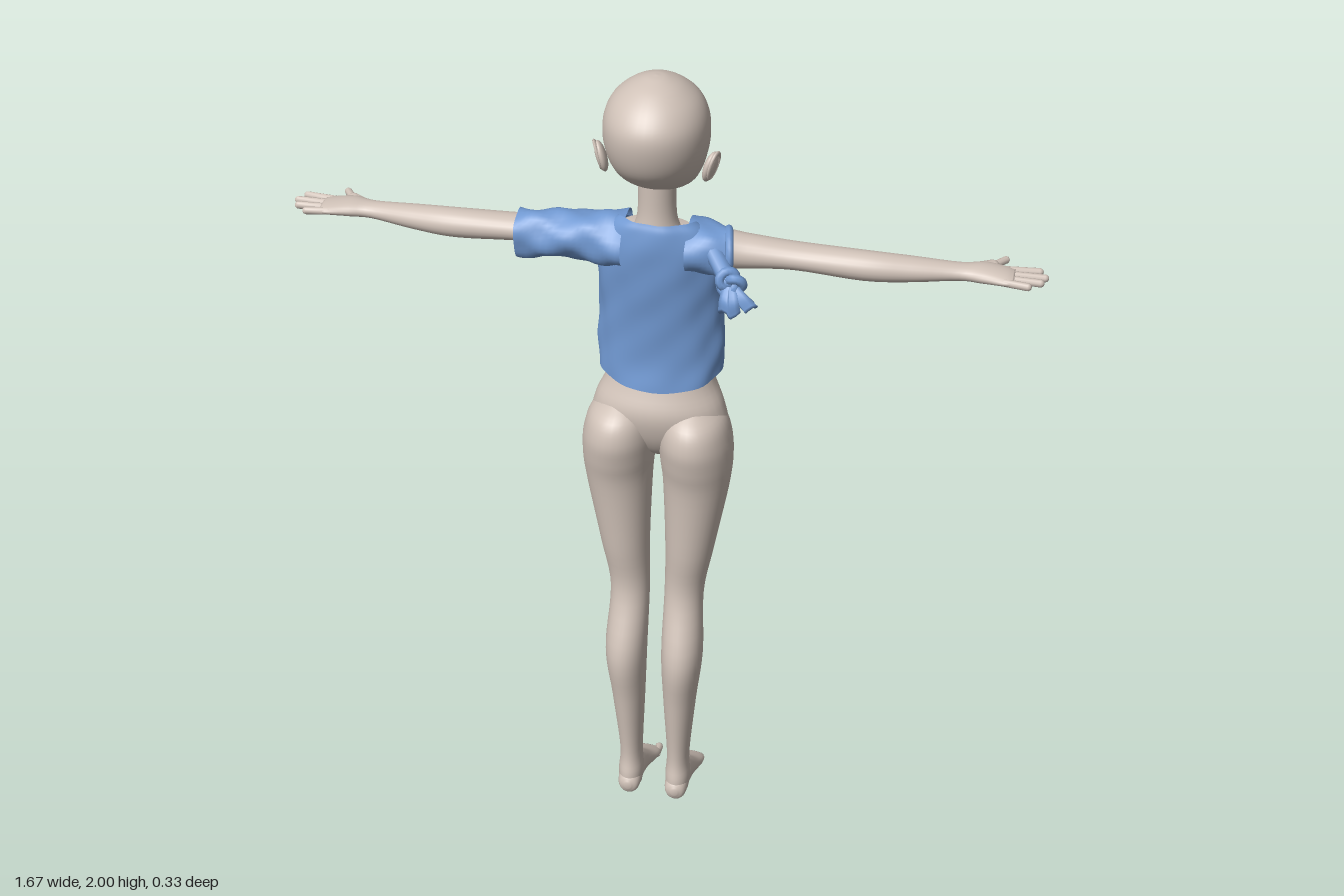
import * as THREE from 'three';

const skin = new THREE.MeshStandardMaterial({ color: 0xd0c2b8 });
skin.name = 'skin';
const cloth = new THREE.MeshStandardMaterial({ color: 0x7199d2, side: THREE.DoubleSide });
cloth.name = 'blue cloth';

// Smooth loft through keys [t, a, b, ra, rbMinus, rbPlus] running along an axis.
// y axis: a = x, b = z; x axis: a = y, b = z; z axis: a = x, b = y.
function loft(keys, axis, { steps = 5, sides = 32, caps = true, warp = null } = {}) {
  const mid = new THREE.CatmullRomCurve3(keys.map(k => new THREE.Vector3(k[0], k[1], k[2])), false, 'catmullrom', 0.5);
  const rad = new THREE.CatmullRomCurve3(keys.map(k => new THREE.Vector3(k[3], k[4], k[5] ?? k[4])), false, 'catmullrom', 0.5);
  const rows = (keys.length - 1) * steps, pos = [], idx = [];
  const place = (t, a, b) => axis === 'y' ? [a, t, b] : axis === 'x' ? [t, a, b] : [a, b, t];
  const flip = (axis !== 'y') !== (keys[0][0] > keys.at(-1)[0]);
  const tri = (a, b, c) => flip ? idx.push(a, c, b) : idx.push(a, b, c);
  for (let i = 0; i <= rows; i++) {
    const c = mid.getPoint(i / rows), r = rad.getPoint(i / rows);
    for (let j = 0; j < sides; j++) {
      const th = j / sides * Math.PI * 2, s = Math.sin(th);
      const p = new THREE.Vector3(...place(c.x,
        c.y + Math.max(r.x, 0.001) * Math.cos(th),
        c.z + Math.max(s < 0 ? r.y : r.z, 0.001) * s));
      if (warp) warp(p, th, i / rows);
      pos.push(p.x, p.y, p.z);
      if (i < rows) {
        const k = i * sides + j, n = i * sides + (j + 1) % sides;
        tri(k, k + sides, n);
        tri(n, k + sides, n + sides);
      }
    }
  }
  if (caps) [0, rows].forEach(row => {
    const c = mid.getPoint(row / rows), m = pos.length / 3;
    pos.push(...place(c.x, c.y, c.z));
    for (let j = 0; j < sides; j++) {
      const k = row * sides + j, n = row * sides + (j + 1) % sides;
      if (row) tri(m, n, k); else tri(m, k, n);
    }
  });
  const g = new THREE.BufferGeometry();
  g.setAttribute('position', new THREE.Float32BufferAttribute(pos, 3));
  g.setIndex(idx);
  g.computeVertexNormals();
  return g;
}

// Capsule between two points
function capsule(a, b, r) {
  const p = new THREE.Vector3(...a), q = new THREE.Vector3(...b), d = q.clone().sub(p);
  const g = new THREE.CapsuleGeometry(r, d.length(), 5, 10);
  g.applyQuaternion(new THREE.Quaternion().setFromUnitVectors(new THREE.Vector3(0, 1, 0), d.normalize()));
  return g.translate(...p.add(q).multiplyScalar(0.5).toArray());
}

const ball = (x, y, z, rx, ry, rz) => new THREE.SphereGeometry(1, 20, 14).scale(rx, ry, rz).translate(x, y, z);

// Mirrored copy across x = 0, with corner order restored
function mirror(geo) {
  const g = geo.clone().scale(-1, 1, 1), ix = g.index.array;
  for (let i = 0; i < ix.length; i += 3) [ix[i + 1], ix[i + 2]] = [ix[i + 2], ix[i + 1]];
  g.computeVertexNormals();
  return g;
}

export function createModel() {
  const model = new THREE.Group();
  model.name = 'figure';
  const add = (name, geo, mat = skin) => {
    const m = new THREE.Mesh(geo, mat);
    m.name = name;
    model.add(m);
  };
  const pair = (name, geo, mat = skin) => {
    add(name + 'Left', geo, mat);
    add(name + 'Right', mirror(geo), mat);
  };

  // Plain torso and neck
  add('torso', loft([
    [1.05, 0, 0.01, 0.03, 0.04, 0.03], [1.08, 0, 0.01, 0.1, 0.075, 0.06],
    [1.13, 0, 0.01, 0.155, 0.092, 0.085], [1.19, 0, 0.01, 0.148, 0.1, 0.095],
    [1.25, 0, 0, 0.122, 0.1, 0.085], [1.33, 0, 0, 0.105, 0.09, 0.06],
    [1.43, 0, 0, 0.11, 0.085, 0.06], [1.52, 0, 0, 0.12, 0.085, 0.075],
    [1.6, 0, 0.02, 0.12, 0.07, 0.06], [1.65, 0, 0.035, 0.075, 0.04, 0.042]], 'y'));
  add('neck', loft([
    [1.61, 0, 0.035, 0.08, 0.055, 0.045], [1.65, 0, 0.037, 0.05, 0.045, 0.045],
    [1.7, 0, 0.036, 0.041, 0.042, 0.042], [1.8, 0, 0.035, 0.042, 0.045, 0.045]], 'y'));

  // Head
  add('head', loft([
    [1.703, 0, -0.055, 0.008, 0.01, 0.01], [1.712, 0, -0.045, 0.03, 0.032, 0.03],
    [1.74, 0, -0.01, 0.062, 0.075, 0.06], [1.77, 0, 0.02, 0.085, 0.11, 0.08],
    [1.81, 0, 0.03, 0.102, 0.116, 0.112], [1.86, 0, 0.038, 0.112, 0.13, 0.126],
    [1.91, 0, 0.04, 0.11, 0.126, 0.128], [1.95, 0, 0.04, 0.093, 0.104, 0.105],
    [1.98, 0, 0.04, 0.06, 0.066, 0.068], [1.996, 0, 0.04, 0.026, 0.028, 0.028],
    [2, 0, 0.04, 0.003, 0.003]], 'y', { sides: 40 }));
  add('nose', loft([
    [1.768, 0, -0.085, 0.006, 0.008, 0.01], [1.776, 0, -0.085, 0.012, 0.021, 0.01],
    [1.79, 0, -0.083, 0.008, 0.014, 0.01], [1.82, 0, -0.08, 0.005, 0.006, 0.01]], 'y', { sides: 12 }));
  add('lips', ball(0, 1.742, -0.084, 0.018, 0.004, 0.006));
  const onFace = g => g.rotateY(-0.55).translate(0.05, 1.81, -0.074);
  pair('eyelid', onFace(new THREE.TorusGeometry(0.026, 0.003, 6, 28).scale(1.1, 0.75, 1.6)));
  pair('eye', onFace(ball(0, 0, 0.002, 0.02, 0.014, 0.006)));
  pair('eyelash', capsule([0.07, 1.824, -0.062], [0.094, 1.833, -0.034], 0.004));
  pair('ear', ball(0, 0, 0, 0.012, 0.036, 0.025).rotateZ(-0.25).rotateY(-0.3).translate(0.117, 1.808, 0.052));
  pair('earRim', new THREE.TorusGeometry(0.022, 0.004, 6, 20).scale(0.9, 1.35, 1)
    .rotateY(Math.PI / 2 - 0.3).rotateZ(-0.25).translate(0.124, 1.812, 0.054));

  // Legs
  pair('leg', loft([
    [1.205, 0.08, 0.035, 0.02, 0.03, 0.03], [1.17, 0.085, 0.03, 0.066, 0.08, 0.09],
    [1.12, 0.088, 0.03, 0.082, 0.105, 0.108], [1.06, 0.091, 0.03, 0.084, 0.102, 0.1],
    [0.98, 0.091, 0.03, 0.077, 0.09, 0.083], [0.8, 0.078, 0.035, 0.058, 0.066, 0.064],
    [0.66, 0.066, 0.04, 0.047, 0.05, 0.05], [0.5, 0.069, 0.075, 0.05, 0.064, 0.069],
    [0.35, 0.064, 0.075, 0.04, 0.046, 0.054], [0.17, 0.06, 0.07, 0.028, 0.037, 0.039],
    [0.1, 0.06, 0.075, 0.031, 0.042, 0.043], [0.06, 0.06, 0.08, 0.028, 0.035, 0.038]], 'y'));
  pair('foot', loft([
    [0.125, 0.06, 0.072, 0.008, 0.01], [0.11, 0.06, 0.07, 0.026, 0.03],
    [0.06, 0.06, 0.082, 0.031, 0.046], [0.01, 0.06, 0.06, 0.033, 0.038],
    [-0.04, 0.059, 0.032, 0.041, 0.022], [-0.075, 0.058, 0.018, 0.042, 0.014],
    [-0.09, 0.058, 0.014, 0.037, 0.01]], 'z', { sides: 24 }));
  for (let i = 0; i < 5; i++) {
    const r = i ? 0.0075 : 0.0105, x = [0.026, 0.046, 0.061, 0.076, 0.09][i];
    pair('toe' + (i + 1), capsule([x, 0.014, -0.07 + i * 0.002], [x, r, -0.1 + i * 0.006], r));
  }

  // Arms and hands
  pair('arm', loft([
    [0.07, 1.59, 0.03, 0.04, 0.04], [0.14, 1.603, 0.03, 0.043, 0.043],
    [0.2, 1.601, 0.025, 0.037, 0.041], [0.3, 1.6, 0.022, 0.029, 0.038],
    [0.45, 1.598, 0.029, 0.032, 0.036], [0.55, 1.595, 0.018, 0.027, 0.032],
    [0.65, 1.593, 0.003, 0.018, 0.026], [0.7, 1.595, 0.001, 0.018, 0.036],
    [0.745, 1.597, 0.011, 0.013, 0.037], [0.765, 1.597, 0.013, 0.008, 0.033]], 'x', { sides: 24 }));
  [[-0.016, -0.026, 0.815], [0.003, -0.001, 0.828], [0.022, 0.022, 0.82], [0.038, 0.043, 0.795]].forEach(
    ([z0, z1, x], i) => pair('finger' + (i + 1), capsule([0.745, 1.597, z0], [x, 1.595, z1], 0.0085)));
  pair('thumbBase', capsule([0.672, 1.59, -0.012], [0.715, 1.585, -0.046], 0.015));
  pair('thumb', capsule([0.715, 1.585, -0.048], [0.74, 1.583, -0.083], 0.0085));

  // Loose top: hem rises at the front, neckline scoops at the front
  const sm = THREE.MathUtils.smoothstep;
  add('shirt', loft([
    [1.25, 0, 0, 0.14, 0.165, 0.09], [1.32, 0, 0, 0.143, 0.166, 0.08],
    [1.42, 0, 0, 0.138, 0.156, 0.083], [1.5, 0, 0, 0.14, 0.15, 0.09],
    [1.56, 0, 0, 0.146, 0.138, 0.094], [1.61, 0, 0.005, 0.142, 0.122, 0.09],
    [1.65, 0, 0.015, 0.112, 0.11, 0.075], [1.67, 0, 0.02, 0.085, 0.1, 0.062]], 'y',
  { steps: 6, sides: 56, caps: false, warp: (p, th) => {
    const front = (1 - Math.sin(th)) / 2, y = p.y;
    const fold = 1 + 0.018 * Math.sin(5 * th + 22 * y) * Math.sin(31 * y + 2 * th) + 0.012 * Math.sin(9 * th - 14 * y);
    p.x *= fold;
    p.z *= fold;
    p.y += 0.06 * front * (1 - sm(y, 1.25, 1.5)) - 0.11 * Math.pow(front, 3) * sm(y, 1.54, 1.67);
  } }), cloth);
  const crease = (p, th) => {
    const f = 0.003 * Math.sin(3 * th + 45 * p.x) + 0.002 * Math.sin(5 * th - 70 * p.x);
    p.y += f * Math.cos(th);
    p.z += f * Math.sin(th);
  };
  add('sleeveRight', loft([
    [-0.31, 1.591, 0.03, 0.056, 0.05], [-0.25, 1.596, 0.03, 0.052, 0.05],
    [-0.18, 1.6, 0.028, 0.053, 0.054], [-0.12, 1.6, 0.026, 0.058, 0.064],
    [-0.07, 1.598, 0.025, 0.062, 0.07]], 'x', { caps: false, warp: crease }), cloth);
  add('sleeveLeft', loft([
    [0.07, 1.6, 0.025, 0.062, 0.07], [0.12, 1.6, 0.027, 0.056, 0.064],
    [0.16, 1.599, 0.03, 0.048, 0.053]], 'x', { caps: false, warp: crease }), cloth);
  add('sleeveRoll', new THREE.TorusGeometry(0.05, 0.009, 8, 28).rotateY(Math.PI / 2 + 0.2).translate(0.156, 1.597, 0.032), cloth);

  // Knot of gathered cloth behind the left shoulder
  add('knotGather', capsule([0.13, 1.615, 0.07], [0.17, 1.572, 0.11], 0.02), cloth);
  add('knot', new THREE.TorusKnotGeometry(0.018, 0.011, 48, 8, 2, 3).translate(0.175, 1.57, 0.115), cloth);
  [[0.215, 1.525, 0.128], [0.18, 1.512, 0.138]].forEach(([x, y, z], i) =>
    add('knotTail' + (i + 1), loft([
      [1.575, 0.175, 0.115, 0.008, 0.008], [(1.575 + y) / 2, (0.175 + x) / 2, z, 0.018, 0.013],
      [y, x, z, 0.022, 0.018]], 'y', { sides: 16, warp: (p, th, v) => {
      p.y += 0.008 * v * Math.sin(3 * th + i);
      p.x += 0.004 * Math.sin(4 * th);
    } }), cloth));

  return model;
}
